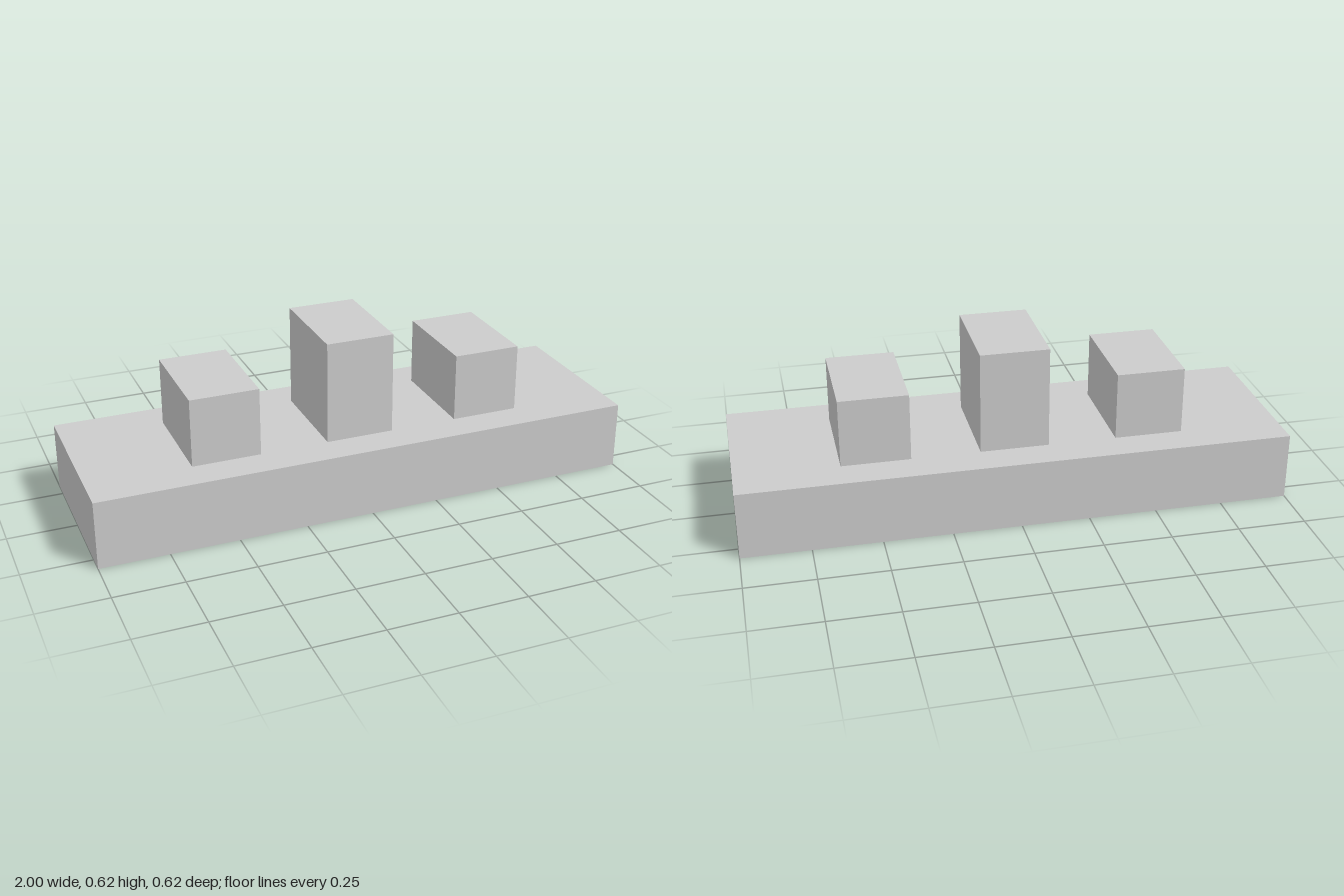
import * as THREE from 'three';

export function createModel() {
  const model = new THREE.Group();
  const material = new THREE.MeshStandardMaterial({ color: 0xcccccc, flatShading: true });

  // Adds a box whose underside rests at height y
  function addBlock(name, width, height, depth, x, y) {
    const mesh = new THREE.Mesh(new THREE.BoxGeometry(width, height, depth), material);
    mesh.name = name;
    mesh.position.set(x, y + height / 2, 0);
    model.add(mesh);
  }

  const baseHeight = 0.25;
  addBlock('base', 2, baseHeight, 0.625, 0, 0);

  // Tall middle block with a matching lower block on each side
  addBlock('centreBlock', 0.25, 0.375, 0.375, 0, baseHeight);
  for (const [name, side] of [['leftBlock', 1], ['rightBlock', -1]]) {
    addBlock(name, 0.25, 0.25, 0.375, side * 0.5, baseHeight);
  }

  return model;
}
